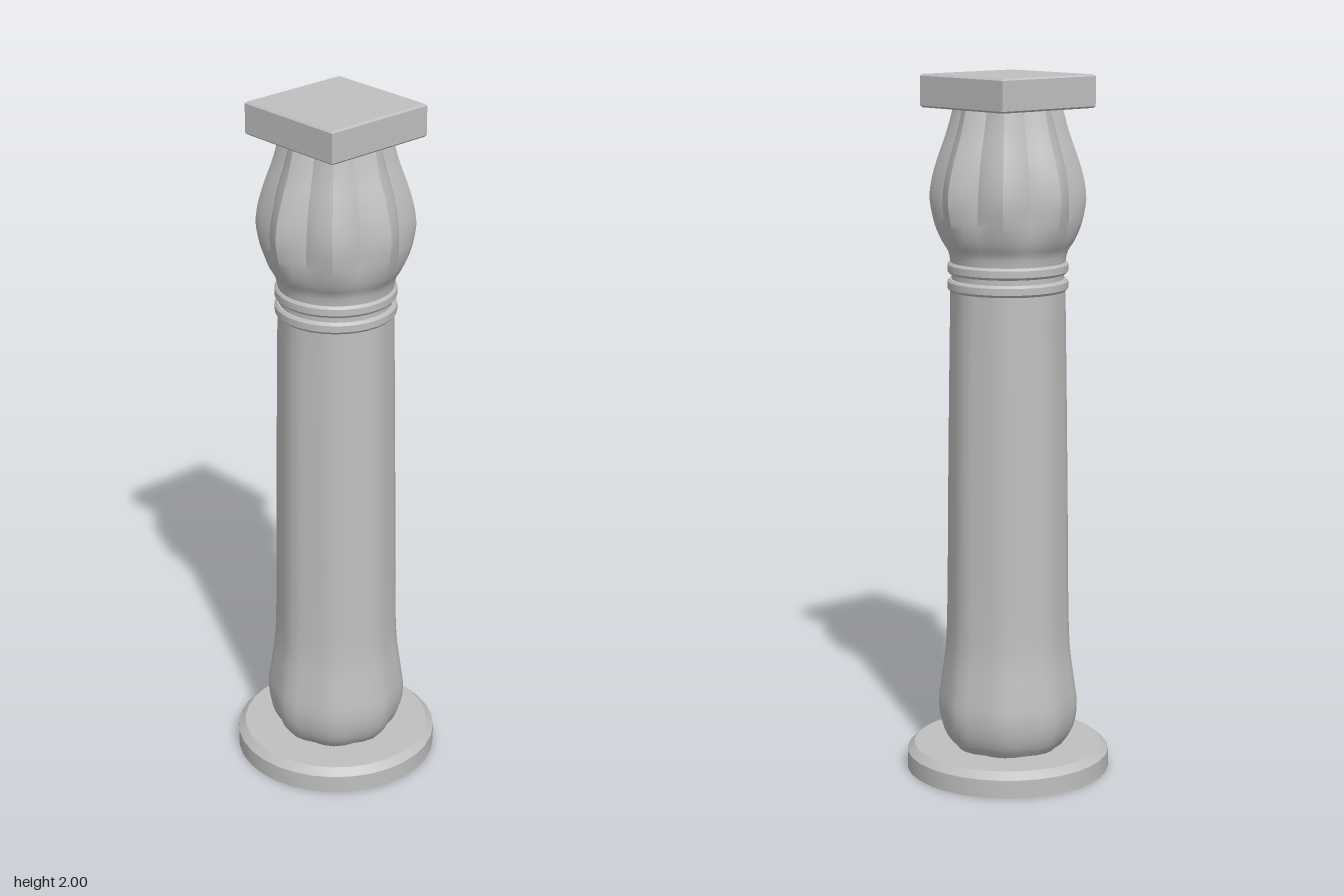
import * as THREE from 'three';
import { toCreasedNormals } from 'three/addons/utils/BufferGeometryUtils.js';

const SIDES = 32;

// Eight-lobed surface: stations are [y, ridge radius, groove radius]
function lobed(stations, rows) {
  const curve = new THREE.CatmullRomCurve3(stations.map((s) => new THREE.Vector3(...s)), false, 'centripetal');
  const blend = [1, 0.66, 0, 0.66]; // ridge, flank, groove, flank
  const pos = [], index = [];
  for (let i = 0; i <= rows; i++) {
    const { x: y, y: ridge, z: groove } = curve.getPoint(i / rows);
    for (let j = 0; j < SIDES; j++) {
      const a = (j / SIDES) * Math.PI * 2;
      const r = groove + (ridge - groove) * blend[j % 4];
      pos.push(r * Math.sin(a), y, r * Math.cos(a));
      if (i < rows) {
        const k = (j + 1) % SIDES, p = i * SIDES, q = p + SIDES;
        index.push(p + j, p + k, q + k, p + j, q + k, q + j);
      }
    }
  }
  const g = new THREE.BufferGeometry();
  g.setAttribute('position', new THREE.Float32BufferAttribute(pos, 3));
  g.setIndex(index);
  return toCreasedNormals(g, 0.5);
}

// Round turned part from [radius, y] points
function turned(points) {
  const g = new THREE.LatheGeometry(points.map((p) => new THREE.Vector2(...p)), SIDES);
  return toCreasedNormals(g, 0.5);
}

export function createModel() {
  const group = new THREE.Group();
  const stone = new THREE.MeshStandardMaterial({ color: 0xbfbfbf });
  stone.name = 'grey stone';
  const add = (name, geometry) => {
    const mesh = new THREE.Mesh(geometry, stone);
    mesh.name = name;
    group.add(mesh);
    return mesh;
  };

  // Round foot with a chamfered top edge
  add('base', turned([[0, 0], [0.293, 0], [0.293, 0.052], [0.272, 0.072], [0, 0.072]]));

  // Slightly faceted shaft that swells near the foot
  add('shaft', lobed([
    [0.07, 0.16, 0.152], [0.1, 0.182, 0.172], [0.14, 0.196, 0.185], [0.19, 0.201, 0.19],
    [0.26, 0.193, 0.183], [0.36, 0.18, 0.171], [0.5, 0.175, 0.166], [0.75, 0.172, 0.163],
    [1.05, 0.168, 0.16], [1.42, 0.162, 0.156],
  ], 36));

  // Two neck rings and the collar between them
  add('collar', turned([[0.158, 1.39], [0.158, 1.5]]));
  for (const [name, y] of [['lowerRing', 1.4], ['upperRing', 1.448]]) {
    add(name, turned([
      [0.15, y], [0.164, y], [0.17, y + 0.007], [0.17, y + 0.026], [0.164, y + 0.033], [0.15, y + 0.033],
    ]));
  }

  // Bulbous capital, round at the neck and deeply lobed above
  add('capital', lobed([
    [1.475, 0.161, 0.161], [1.51, 0.168, 0.166], [1.54, 0.187, 0.179], [1.58, 0.204, 0.187],
    [1.62, 0.214, 0.188], [1.66, 0.219, 0.187], [1.71, 0.213, 0.182], [1.77, 0.196, 0.17],
    [1.84, 0.171, 0.149], [1.91, 0.152, 0.13],
  ], 24));

  // Square top slab with a narrow bevel
  const h = 0.167, bevel = 0.005;
  const square = new THREE.Shape([[-h, -h], [h, -h], [h, h], [-h, h]].map((p) => new THREE.Vector2(...p)));
  const slab = new THREE.ExtrudeGeometry(square, {
    depth: 0.092 - 2 * bevel, bevelThickness: bevel, bevelSize: bevel, bevelSegments: 1,
  });
  slab.rotateX(-Math.PI / 2);
  add('topSlab', slab).position.y = 1.908 + bevel;

  return group;
}
